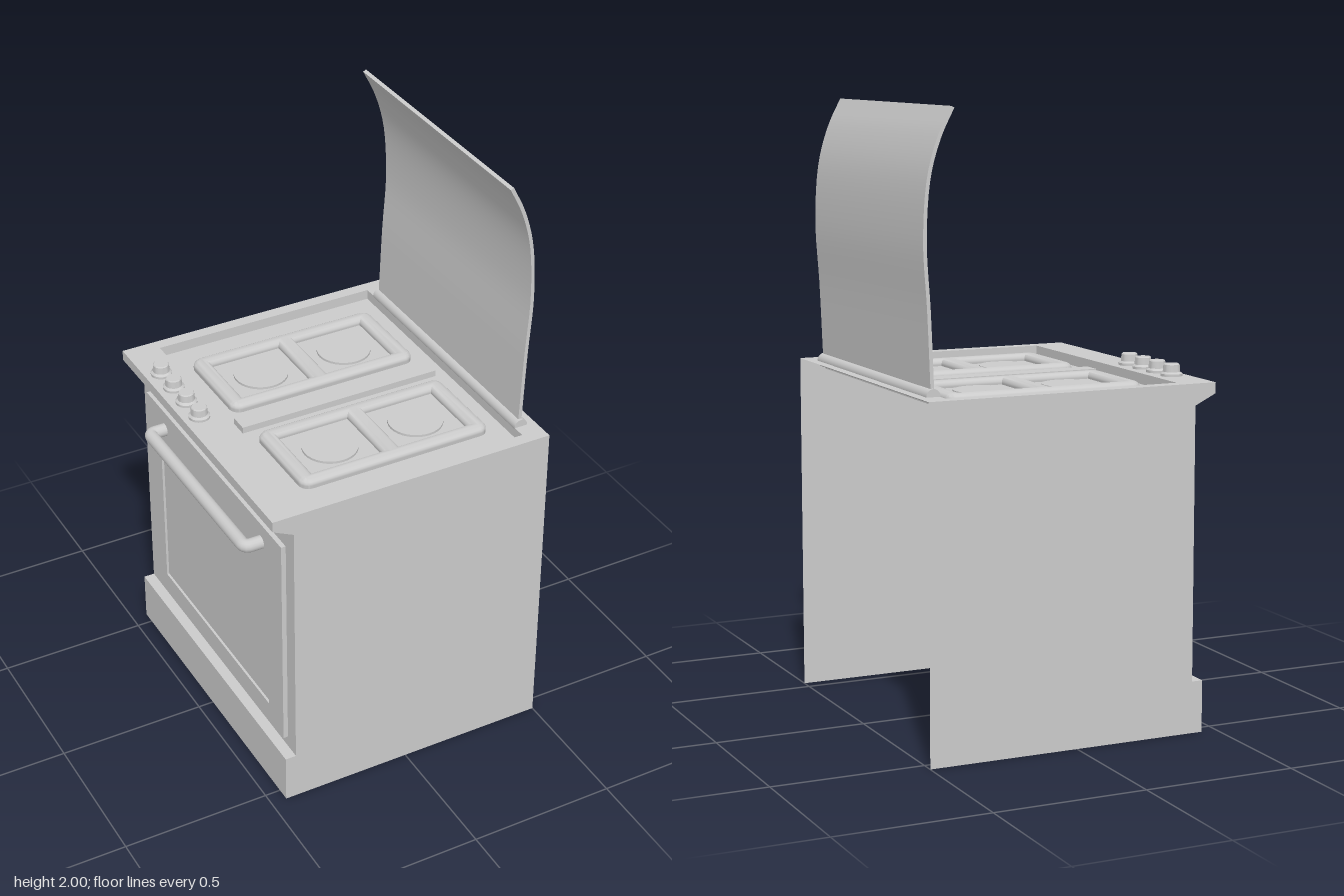
import * as THREE from 'three';
import { toCreasedNormals } from 'three/addons/utils/BufferGeometryUtils.js';

const solid = new THREE.MeshStandardMaterial({ color: 0xcccccc });
const sheet = new THREE.MeshStandardMaterial({ color: 0xcccccc, side: THREE.DoubleSide });
const W = 0.545; // half width along z
const TOP = 1.13, FLOOR = 1.095;

function add(parent, name, geometry, x = 0, y = 0, z = 0, material = solid) {
  const mesh = new THREE.Mesh(geometry, material);
  mesh.name = name;
  mesh.position.set(x, y, z);
  parent.add(mesh);
  return mesh;
}

const polygon = (pts) => new THREE.Shape(pts.map(([x, y]) => new THREE.Vector2(x, y)));

function rect(x0, x1, y0, y1, r = 0) {
  if (!r) return polygon([[x0, y0], [x1, y0], [x1, y1], [x0, y1]]);
  const s = new THREE.Shape();
  s.absarc(x1 - r, y0 + r, r, -Math.PI / 2, 0);
  s.absarc(x1 - r, y1 - r, r, 0, Math.PI / 2);
  s.absarc(x0 + r, y1 - r, r, Math.PI / 2, Math.PI);
  s.absarc(x0 + r, y0 + r, r, Math.PI, Math.PI * 1.5);
  s.closePath();
  return s;
}

// Sweeps an open outline in x, y straight across z, with sharp folds
function foldedSheet(outline, half) {
  const pos = [];
  for (let i = 0; i < outline.length - 1; i++) {
    const [ax, ay] = outline[i], [bx, by] = outline[i + 1];
    pos.push(ax, ay, -half, ax, ay, half, bx, by, half);
    pos.push(ax, ay, -half, bx, by, half, bx, by, -half);
  }
  const g = new THREE.BufferGeometry();
  g.setAttribute('position', new THREE.Float32BufferAttribute(pos, 3));
  g.computeVertexNormals();
  return g;
}

// Rounded slab lying flat, with its underside at y = 0
function softSlab(shape, height, bevel) {
  const g = new THREE.ExtrudeGeometry(shape, {
    depth: height - bevel, bevelSize: bevel, bevelThickness: bevel,
    bevelOffset: -bevel, bevelSegments: 5, curveSegments: 6,
  });
  g.rotateX(-Math.PI / 2);
  return toCreasedNormals(g, 0.7);
}

export function createModel() {
  const model = new THREE.Group();
  model.name = 'cooker';

  // Open-backed body: folded front and two side panels
  const front = [[-0.447, 0], [-0.447, 0.17], [-0.41, 0.17], [-0.41, 1.06],
    [-0.482, FLOOR], [-0.482, TOP]];
  add(model, 'frontPanel', foldedSheet(front, W), 0, 0, 0, sheet);
  const side = new THREE.ShapeGeometry(polygon([...front, [0.5, TOP], [0.5, 0]]));
  add(model, 'leftSidePanel', side, 0, 0, W, sheet);
  add(model, 'rightSidePanel', side, 0, 0, -W, sheet);

  // Worktop with a sunken pan
  const px0 = -0.365, px1 = 0.425, pz = 0.503;
  const worktop = rect(-0.482, 0.5, -W, W);
  worktop.holes.push(rect(px0, px1, -pz, pz));
  add(model, 'worktop', new THREE.ShapeGeometry(worktop).rotateX(-Math.PI / 2), 0, TOP, 0, sheet);
  add(model, 'hobPan', foldedSheet([[px0, TOP], [px0, FLOOR], [px1, FLOOR], [px1, TOP]], pz), 0, 0, 0, sheet);
  for (const s of [-1, 1]) {
    add(model, 'panWall', new THREE.PlaneGeometry(px1 - px0, TOP - FLOOR),
      (px0 + px1) / 2, (TOP + FLOOR) / 2, s * pz, sheet);
  }

  // Two rounded hob frames, each around two burners
  for (const s of [-1, 1]) {
    const hob = new THREE.Group();
    hob.name = s > 0 ? 'leftHob' : 'rightHob';
    hob.position.set(0, FLOOR, s * 0.24);
    const frame = rect(-0.302, 0.368, -0.163, 0.163, 0.035);
    frame.holes.push(rect(-0.247, 0.003, -0.115, 0.115), rect(0.063, 0.313, -0.115, 0.115));
    add(hob, 'hobFrame', softSlab(frame, 0.03, 0.02));
    for (const x of [-0.122, 0.188]) {
      add(hob, 'burnerTray', new THREE.BoxGeometry(0.25, 0.006, 0.23), x, 0.003, 0);
      add(hob, 'burner', new THREE.CylinderGeometry(0.09, 0.09, 0.014, 32), x, 0.007, 0);
    }
    model.add(hob);
  }
  add(model, 'centreBar', new THREE.BoxGeometry(0.71, 0.022, 0.062), 0.03, FLOOR + 0.011, 0.002);

  // Control knobs
  const knob = new THREE.LatheGeometry([[0.035, 0], [0.035, 0.008], [0.028, 0.014], [0.026, 0.037],
    [0.023, 0.04], [0, 0.04]].map(([x, y]) => new THREE.Vector2(x, y)), 24);
  const knobGeometry = toCreasedNormals(knob, 0.6);
  for (let i = 0; i < 4; i++) add(model, 'knob', knobGeometry, -0.427, TOP, -0.358 + i * 0.0953);

  // Oven door: raised frame around a slightly sunken window, turned to face -x
  const doorFrame = rect(-0.49, 0.49, 0.21, 0.98);
  doorFrame.holes.push(rect(-0.39, 0.39, 0.28, 0.85));
  const frameGeo = new THREE.ExtrudeGeometry(doorFrame, { depth: 0.016, bevelEnabled: false });
  add(model, 'doorFrame', frameGeo.rotateY(-Math.PI / 2), -0.41);
  add(model, 'doorWindow', new THREE.BoxGeometry(0.008, 0.57, 0.78), -0.414, 0.565, 0);

  // Door handle bent back into the door at both ends
  const path = new THREE.CurvePath();
  const v = (x, z) => new THREE.Vector3(x, 0.912, z);
  path.add(new THREE.LineCurve3(v(-0.42, -0.352), v(-0.462, -0.352)));
  path.add(new THREE.QuadraticBezierCurve3(v(-0.462, -0.352), v(-0.482, -0.352), v(-0.482, -0.33)));
  path.add(new THREE.LineCurve3(v(-0.482, -0.33), v(-0.482, 0.33)));
  path.add(new THREE.QuadraticBezierCurve3(v(-0.482, 0.33), v(-0.482, 0.352), v(-0.462, 0.352)));
  path.add(new THREE.LineCurve3(v(-0.462, 0.352), v(-0.42, 0.352)));
  add(model, 'doorHandle', new THREE.TubeGeometry(path, 120, 0.022, 16));

  // Hinge rod and curved lid standing open
  const rod = new THREE.CylinderGeometry(0.023, 0.023, 0.92, 20).rotateX(Math.PI / 2);
  add(model, 'lidHinge', rod, 0.447, TOP + 0.002, 0);
  const curve = new THREE.CatmullRomCurve3([[0.447, 1.145], [0.457, 1.39], [0.469, 1.6],
    [0.455, 1.79], [0.42, 1.91], [0.377, 1.997]].map(([x, y]) => new THREE.Vector3(x, y, 0)));
  const outer = [], inner = [];
  for (let i = 0; i <= 24; i++) {
    const p = curve.getPoint(i / 24), t = curve.getTangent(i / 24);
    outer.push([p.x + t.y * 0.006, p.y - t.x * 0.006]);
    inner.unshift([p.x - t.y * 0.006, p.y + t.x * 0.006]);
  }
  const lid = new THREE.ExtrudeGeometry(polygon([...outer, ...inner]), { depth: 0.904, bevelEnabled: false });
  add(model, 'lid', toCreasedNormals(lid, 0.5), 0, 0, -0.452);

  return model;
}
